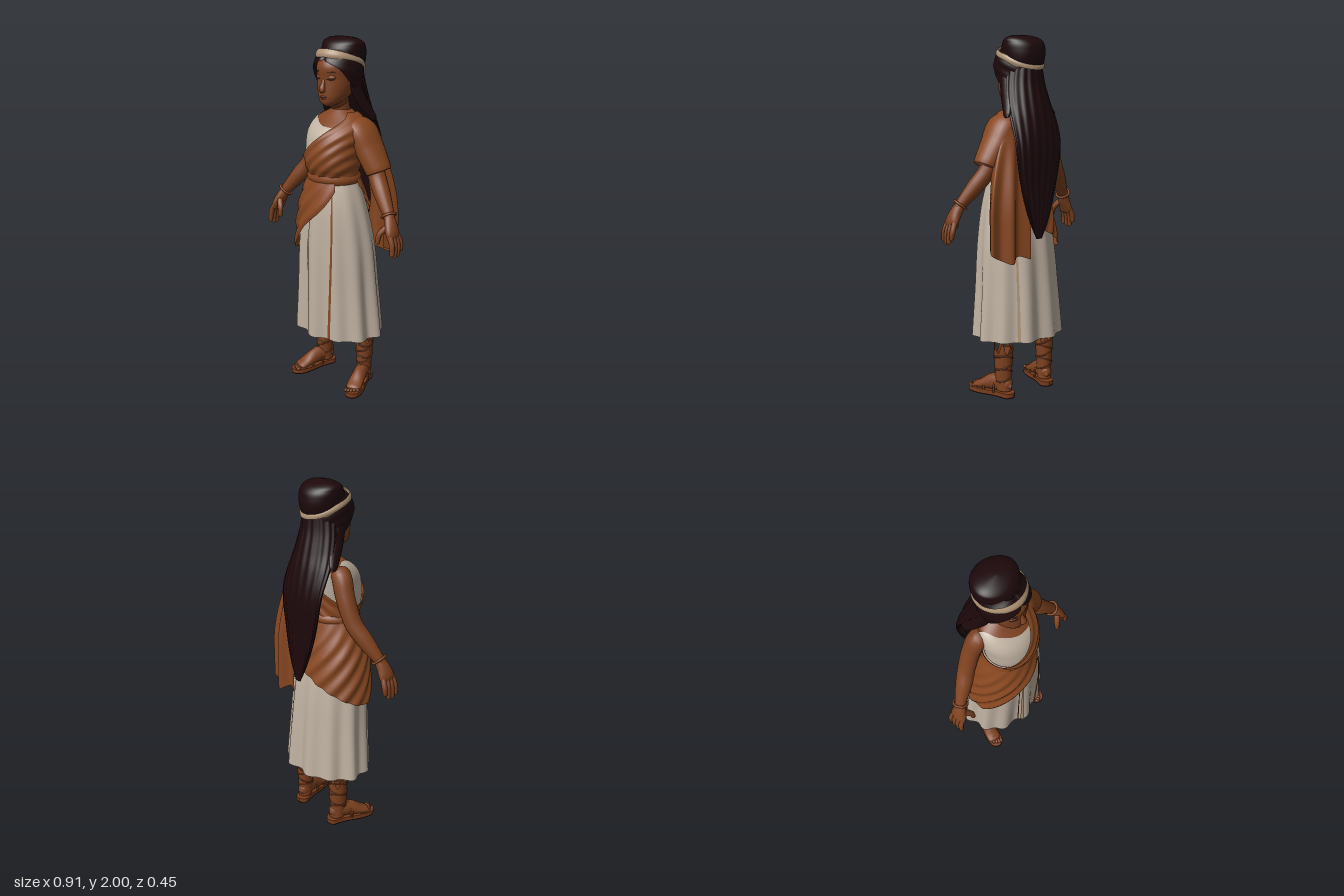
import * as THREE from 'three';
import { ParametricGeometry } from 'three/addons/geometries/ParametricGeometry.js';

const paint = (name, color) => {
  const m = new THREE.MeshStandardMaterial({ color, side: THREE.DoubleSide });
  m.name = name;
  return m;
};
const RAD = Math.PI / 180;
const V = (x, y, z) => new THREE.Vector3(x, y, z);

// Smooth lookup in rows of [key, value, value...]
function table(rows) {
  const n = rows[0].length - 1;
  const c = new THREE.CubicInterpolant(rows.map(r => r[0]), rows.flatMap(r => r.slice(1)), n);
  return t => c.evaluate(t);
}
// Body of oval rings: rows of [y, cx, cz, rx, rz]; angle 0 is the front, 90 the left side
function rings(rows) {
  const at = table(rows);
  return (deg, y, off, target) => {
    const [cx, cz, rx, rz] = at(y), a = deg * RAD;
    return target.set(cx + Math.sin(a) * (rx + off), y, cz + Math.cos(a) * (rz + off));
  };
}
// Piece of a ring body between two angles, with bottom and top edges and surface relief
const val = (f, ...a) => (typeof f === 'function' ? f(...a) : f);
function patch(body, a0, a1, bottom, top, off = 0, nu = 48, nv = 24) {
  return new ParametricGeometry((u, v, p) => {
    const a = a0 + (a1 - a0) * u, b = val(bottom, a);
    const y = b + (val(top, a) - b) * v;
    body(a, y, val(off, a, y), p);
  }, nu, nv);
}
// Rounded limb through points [x, y, z, r1, r2]
function limb(pts, ref = V(0, 0, 1), nu = 16, nv = 24, cap = 0.1) {
  const curve = new THREE.CatmullRomCurve3(pts.map(p => V(p[0], p[1], p[2])));
  const size = table(pts.map((p, i) => [i / (pts.length - 1), p[3], p[4] ?? p[3]]));
  return new ParametricGeometry((u, v, out) => {
    const t = curve.getTangent(v), a = ref.clone().cross(t).normalize(), b = t.clone().cross(a);
    const e = Math.max(0, 1 - Math.min(v, 1 - v) / cap), k = Math.max(0.04, Math.sqrt(1 - e * e));
    const [r1, r2] = size(v), w = u * Math.PI * 2;
    out.copy(curve.getPoint(v)).addScaledVector(a, Math.cos(w) * r1 * k).addScaledVector(b, Math.sin(w) * r2 * k);
  }, nu, nv);
}

export function createModel() {
  const skin = paint('skin', 0x7f4220), shawl = paint('shawl cloth', 0x884720), cloth = paint('dress cloth', 0xbfb1a1);
  const hair = paint('hair', 0x1d080b), bandMat = paint('headband cloth', 0xac9173), strap = paint('leather', 0x7a3d1c);
  const dark = paint('brows and lashes', 0x40200f), lip = paint('lips', 0x74361f);
  const model = new THREE.Group();
  const add = (name, geo, mat, parent = model) => {
    const m = new THREE.Mesh(geo, mat);
    m.name = name;
    parent.add(m);
    return m;
  };
  const blob = (name, mat, pos, scale, rz = 0, ry = 0) => {
    const m = add(name, new THREE.SphereGeometry(1, 16, 12), mat);
    m.position.set(...pos);
    m.scale.set(...scale);
    m.rotation.set(0, ry, rz);
  };

  // Skirt with pleats, lining and coloured fold strips
  const skirt = rings([[0.34, 0, -0.002, 0.272, 0.212], [0.6, 0, 0.006, 0.25, 0.2], [0.9, 0, 0.02, 0.226, 0.182],
    [1.1, 0, 0.035, 0.19, 0.155], [1.2, 0, 0.04, 0.16, 0.132], [1.26, 0, 0.04, 0.135, 0.118]]);
  const pleat = (a, y) => 0.012 * Math.max(0, (1.27 - y) / 0.9) * (Math.cos(11 * a * RAD + 0.6) + 0.5 * Math.cos(7 * a * RAD));
  add('skirt', patch(skirt, 0, 360, 0.34, 1.26, pleat, 160, 24), cloth);
  add('skirtLining', patch(skirt, 0, 360, a => 0.42 + 0.015 * Math.sin(a * RAD * 12), 0.95, (a, y) => pleat(a, y) - 0.012, 120, 8), shawl);
  for (const [low, high, w, top, mat] of [[19, 31, 2, 1.2, shawl], [-10, -12, 2, 1.05, bandMat], [-15, -17, 0.8, 0.95, shawl], [148, 146, 2, 1.0, bandMat]]) {
    add('foldStrip', new ParametricGeometry((u, v, p) => {
      const y = 0.342 + (top - 0.342) * v, a = low + (high - low) * v + (u - 0.5) * 2 * w * (1 - 0.4 * v);
      skirt(a, y, pleat(a, y) + 0.004, p);
    }, 3, 24), mat);
  }

  // Torso, neck and sleeveless tunic
  const torso = rings([[1.2, 0, 0.04, 0.145, 0.12], [1.27, 0, 0.04, 0.128, 0.118], [1.33, 0, 0.052, 0.138, 0.13],
    [1.43, 0, 0.045, 0.146, 0.136], [1.52, 0, 0.025, 0.15, 0.118], [1.58, 0, -0.01, 0.125, 0.08], [1.62, 0, -0.025, 0.055, 0.052]]);
  add('torso', patch(torso, 0, 360, 1.2, 1.62), skin);
  add('neck', limb([[0, 1.56, -0.035, 0.055], [0, 1.62, -0.025, 0.047], [0, 1.74, 0.01, 0.046]]), skin);
  const neckline = table([[-180, 1.5], [-130, 1.54], [-100, 1.58], [-70, 1.588], [-40, 1.572], [0, 1.545], [40, 1.54], [90, 1.56], [180, 1.5]]);
  add('tunic', patch(torso, -180, 180, 1.22, a => neckline(a)[0], 0.007, 64, 20), cloth);

  // Shawl across the chest with folds running along its diagonal
  const diagonal = a => Math.max(1.33, Math.min(1.61, 1.485 + 0.15 * Math.sin(a * RAD)));
  add('shawlWrap', patch(torso, -180, 180, 1.25, diagonal,
    (a, y) => 0.016 + 0.003 * Math.sin(95 * (y - 0.14 * Math.sin(a * RAD))), 96, 40), shawl);
  add('shawlSleeve', limb([[0.06, 1.545, -0.02, 0.05, 0.085], [0.135, 1.515, -0.025, 0.066, 0.1], [0.19, 1.42, -0.032, 0.07, 0.092],
    [0.243, 1.325, -0.033, 0.068, 0.078], [0.255, 1.3, -0.033, 0.065, 0.072]], V(0, 0, 1), 24, 24, 0.06), shawl);
  // Broad end hanging in soft folds behind the left shoulder, its outer edge turned forward
  const path = pts => new THREE.CatmullRomCurve3(pts.map(p => V(p[0], p[1], p[2])));
  const tailTop = path([[0.05, 1.53, -0.1], [0.09, 1.53, -0.115], [0.13, 1.53, -0.12], [0.17, 1.51, -0.12], [0.2, 1.48, -0.1], [0.21, 1.46, -0.06]]);
  const tailEnd = path([[0.07, 0.8, -0.19], [0.14, 0.82, -0.16], [0.2, 0.79, -0.2], [0.25, 0.81, -0.155], [0.305, 0.84, -0.15], [0.262, 0.86, -0.075]]);
  add('shawlTail', new ParametricGeometry((u, v, p) => {
    const k = 1 - v, a = tailTop.getPoint(u), b = tailEnd.getPoint(u), full = Math.sin(Math.min(1, k * 1.4) * Math.PI / 2);
    p.set(a.x + (b.x - a.x) * full, a.y + (b.y - a.y) * k, a.z + (b.z - a.z) * full);
  }, 48, 20), shawl);

  // Swag over the right hip and its waistband
  const hem = table([[-265, 1.22], [-230, 1.1], [-180, 0.97], [-140, 0.88], [-110, 0.82], [-80, 0.785], [-60, 0.81], [-45, 0.86], [-15, 1.0], [15, 1.11], [38, 1.21]]);
  add('hipDrape', patch(skirt, -265, 38, a => hem(a)[0], 1.26, (a, y) => {
    const d = Math.min(1, (1.27 - y) * 5);
    return 0.015 + d * (0.008 + 0.006 * Math.sin(52 * (y - 0.0042 * (a + 80))));
  }, 110, 40), shawl);
  add('belt', patch(torso, 0, 360, 1.238, 1.285, (a, y) => 0.016 + 0.009 * Math.sin((y - 1.238) / 0.047 * Math.PI), 48, 8), shawl);

  // Arms, hands and bracelets, legs and sandals
  const outline = new THREE.Shape();
  outline.moveTo(0, -0.125);
  outline.splineThru([[0.038, -0.1], [0.036, -0.02], [0.05, 0.09], [0.038, 0.155], [0, 0.178], [-0.038, 0.15], [-0.046, 0.08], [-0.036, -0.02], [-0.038, -0.1], [0, -0.125]]
    .map(p => new THREE.Vector2(...p)));
  const layer = (depth, y) => new THREE.ExtrudeGeometry(outline, { depth, bevelEnabled: false, curveSegments: 40 }).rotateX(Math.PI / 2).translate(0, y + depth, 0);
  const leg = rings([[0.04, 0, -0.06, 0.04, 0.046], [0.1, 0, -0.055, 0.041, 0.048], [0.2, 0, -0.055, 0.047, 0.052], [0.32, 0, -0.055, 0.052, 0.056]]);
  for (const s of [-1, 1]) {
    const side = s > 0 ? 'left' : 'right';
    add(side + 'Arm', limb([[s * 0.1, 1.54, -0.02, 0.045], [s * 0.145, 1.51, -0.03, 0.054], [s * 0.184, 1.42, -0.04, 0.052],
      [s * 0.243, 1.28, -0.03, 0.048], [s * 0.303, 1.195, 0, 0.045], [s * 0.375, 1.1, 0.035, 0.03], [s * 0.39, 1.075, 0.042, 0.028]]), skin);
    add(side + 'Palm', limb([[s * 0.37, 1.11, 0.033, 0.026, 0.028], [s * 0.395, 1.06, 0.047, 0.03, 0.04], [s * 0.415, 1.015, 0.055, 0.026, 0.049],
      [s * 0.422, 0.98, 0.057, 0.016, 0.042]]), skin);
    for (let i = 0; i < 4; i++) {
      const z = 0.018 + i * 0.025, y = 0.902 - (i === 1 || i === 2 ? 0.014 : 0) + (i === 0 ? 0.015 : 0);
      add(side + 'Finger', limb([[s * 0.417, 1.02, z * 0.8 + 0.012, 0.015], [s * 0.44, 0.96, z, 0.015], [s * 0.444, y, z + 0.004, 0.012]], V(0, 0, 1), 8, 10), skin);
    }
    add(side + 'Thumb', limb([[s * 0.39, 1.055, 0.07, 0.019], [s * 0.36, 1.01, 0.098, 0.016], [s * 0.354, 0.955, 0.108, 0.012]], V(0, 0, 1), 8, 12), skin);
    const bracelet = add(side + 'Bracelet', new THREE.TorusGeometry(0.038, 0.007, 8, 24), shawl);
    bracelet.position.set(s * 0.373, 1.103, 0.034);
    bracelet.lookAt(V(s * 0.44, 1.0, 0.07));

    const foot = new THREE.Group();
    foot.name = side + 'Foot';
    foot.position.x = s * 0.169;
    foot.rotation.y = s * 0.3;
    model.add(foot);
    add('legWrap', patch(leg, 0, 360, 0.04, a => 0.285 + 0.025 * Math.sin(a * RAD * 7) + 0.012 * Math.sin(a * RAD * 4), 0, 54, 14), skin, foot);
    add('foot', limb([[0, 0.06, -0.108, 0.03, 0.035], [0, 0.078, -0.05, 0.038, 0.052], [0, 0.072, 0.02, 0.039, 0.046],
      [0, 0.048, 0.09, 0.045, 0.027], [0, 0.037, 0.14, 0.041, 0.015]], V(0, 1, 0)), skin, foot);
    for (let i = 0; i < 5; i++) {
      const toe = add('toe', new THREE.SphereGeometry(0.011, 8, 6), skin, foot);
      toe.position.set(s * (-0.032 + i * 0.016), 0.036, 0.152 - i * i * 0.0016);
      toe.scale.set(0.9, 0.9, 1.6);
    }
    add('sole', layer(0.006, 0.002), hair, foot);
    add('insole', layer(0.022, 0.008), strap, foot);
    // Crossing leg straps
    for (let i = 0; i < 5; i++) {
      const r = 0.045 + i * 0.002, t = add('legStrap', new THREE.TorusGeometry(r, 0.004, 6, 24), strap, foot);
      t.position.set(0, 0.11 + i * 0.038, -0.055);
      t.scale.y = 1.1;
      t.rotation.set(Math.PI / 2 + 0.2, (i % 2 ? 1 : -1) * 0.35, 0);
    }
    // Bands over the instep
    for (const [z, h, turn] of [[0.0, 0.1, 0.35], [0.04, 0.078, -0.4], [0.07, 0.06, 0.35], [0.11, 0.04, 0]]) {
      const t = add('footStrap', new THREE.TorusGeometry(0.044, 0.006, 6, 16, Math.PI), strap, foot);
      t.position.set(0, 0.025, z);
      t.scale.y = h / 0.048;
      t.rotation.y = turn;
    }
  }

  // Head and face
  const head = rings([[1.645, 0, 0.078, 0.018, 0.022], [1.66, 0, 0.066, 0.045, 0.054], [1.69, 0, 0.04, 0.073, 0.088], [1.73, 0, 0.022, 0.09, 0.106],
    [1.79, 0, 0.012, 0.1, 0.113], [1.86, 0, 0.008, 0.1, 0.12], [1.93, 0, -0.01, 0.08, 0.09]]);
  add('head', patch(head, 0, 360, 1.645, 1.93), skin);
  add('chinUnderside', limb([[0, 1.64, 0.075, 0.02], [0, 1.68, 0.03, 0.06], [0, 1.73, -0.02, 0.06]], V(0, 1, 0)), skin);
  add('nose', limb([[0, 1.8, 0.115, 0.009], [0, 1.765, 0.126, 0.012], [0, 1.737, 0.136, 0.018, 0.014], [0, 1.722, 0.125, 0.016, 0.01]], V(0, 0, 1), 12, 16, 0.2), skin);
  blob('upperLip', lip, [0, 1.699, 0.126], [0.022, 0.006, 0.008]);
  blob('lowerLip', lip, [0, 1.691, 0.124], [0.018, 0.006, 0.008]);
  for (const s of [-1, 1]) {
    blob('eyelid', skin, [s * 0.042, 1.8, 0.109], [0.024, 0.014, 0.011], 0, s * 0.4);
    blob('lashLine', dark, [s * 0.043, 1.792, 0.115], [0.022, 0.0035, 0.006], s * 0.08, s * 0.4);
    blob('brow', dark, [s * 0.045, 1.829, 0.115], [0.024, 0.003, 0.005], s * -0.08, s * 0.4);
    blob('ear', skin, [s * 0.098, 1.765, 0.0], [0.012, 0.03, 0.02]);
  }

  // Parted hair around the face
  const cap = rings([[1.66, 0, -0.045, 0.105, 0.1], [1.72, 0, -0.015, 0.116, 0.118], [1.78, 0, -0.002, 0.127, 0.13], [1.85, 0, 0, 0.133, 0.137],
    [1.9, 0, -0.006, 0.118, 0.128], [1.94, 0, -0.015, 0.09, 0.095]]);
  const hairline = table([[0, 1.89], [20, 1.873], [45, 1.84], [62, 1.79], [78, 1.745], [95, 1.7], [120, 1.67], [180, 1.66]]);
  add('frontHair', patch(cap, -180, 180, a => hairline(Math.abs(a))[0], 1.94,
    (a, y) => -0.01 * Math.exp(-a * a / 40) + 0.0015 * Math.sin(110 * y + Math.abs(a) * 0.12), 96, 24), hair);
  // Gathered hair on the crown
  const crown = rings([[1.81, 0, -0.04, 0.1, 0.098], [1.86, 0, -0.04, 0.113, 0.118], [1.91, 0, -0.042, 0.12, 0.118], [1.95, 0, -0.042, 0.12, 0.106],
    [1.975, 0, -0.038, 0.112, 0.083], [1.99, 0, -0.034, 0.085, 0.052], [1.997, 0, -0.032, 0.05, 0.028], [2.0, 0, -0.032, 0.0005, 0.0005]]);
  add('crownHair', patch(crown, 0, 360, 1.81, 2.0, 0, 72, 30), hair);
  // Tilted headband
  add('headband', new ParametricGeometry((u, v, p) => {
    const a = u * Math.PI * 2, bulge = 0.007 * Math.sin(v * Math.PI);
    p.set(Math.sin(a) * (0.123 + bulge), 1.878 + 0.046 * Math.cos(a) + (v - 0.5) * 0.042, -0.016 + Math.cos(a) * (0.138 - 0.018 * v + bulge));
  }, 64, 8), bandMat);

  // Long hair down the back, cupping the neck above and hanging flat to a point below
  const mane = rings([[0.91, 0.02, -0.2, 0.02, 0.006], [1.0, 0.018, -0.198, 0.062, 0.014], [1.2, 0.012, -0.19, 0.122, 0.024], [1.4, 0.006, -0.186, 0.155, 0.033],
    [1.55, 0, -0.158, 0.157, 0.04], [1.65, 0, -0.12, 0.143, 0.053], [1.75, 0, -0.085, 0.125, 0.064], [1.86, 0, -0.06, 0.1, 0.08]]);
  add('longHair', patch((a, y, off, p) => {
    mane(a, y, off, p);
    p.z += (0.3 + 1.5 * THREE.MathUtils.smoothstep(y, 1.4, 1.68)) * p.x * p.x;
  }, 0, 360, 0.91, 1.86, (a, y) => 0.0025 * Math.sin(a * RAD * 18) * Math.min(1, (y - 0.91) * 6), 110, 40), hair);
  for (const s of [-1, 1]) {
    add('sideLock', limb([[s * 0.1, 1.8, -0.005, 0.024, 0.035], [s * 0.11, 1.71, -0.03, 0.024, 0.04], [s * 0.135, 1.63, -0.07, 0.02, 0.035], [s * 0.168, 1.56, -0.11, 0.012, 0.02]]), hair);
  }
  return model;
}
